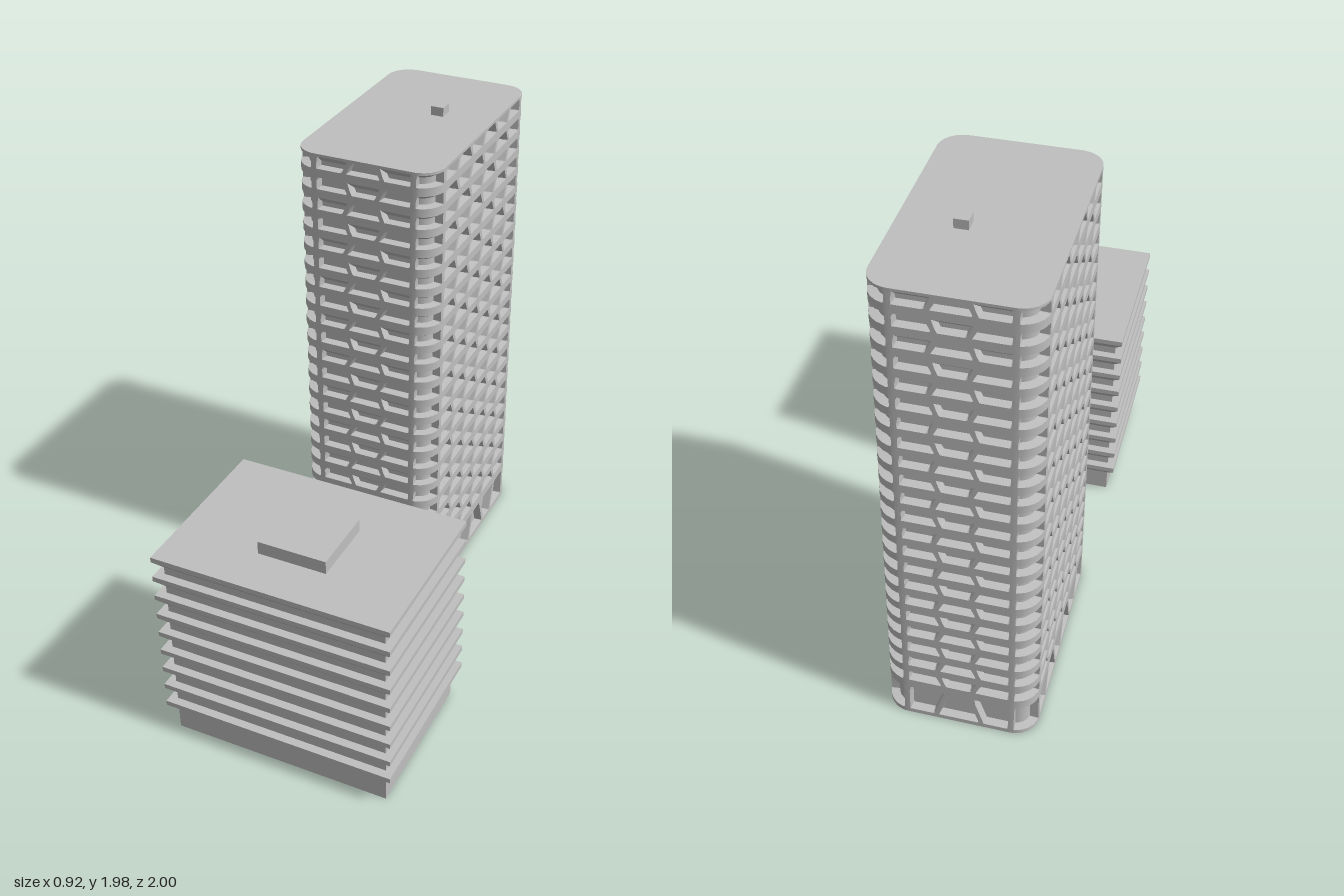
import * as THREE from 'three';
import { mergeGeometries, toCreasedNormals } from 'three/addons/utils/BufferGeometryUtils.js';

// Tower plan: width, depth, corner radius, height, centre
const W = 0.568, D = 0.92, R = 0.088, H = 1.94, CX = -0.148, CZ = -0.54;
const PITCH = 0.081, ROWS = 22, RECESS = 0.032;
const lerp = THREE.MathUtils.lerp;

// Place on one of four straight sides (u along the wall, d inwards)
function wallPlace(k) {
  const a = k * Math.PI / 2, n = [Math.sin(a), Math.cos(a)], t = [Math.cos(a), -Math.sin(a)];
  const length = (k % 2 ? D : W) - 2 * R, half = (k % 2 ? W : D) / 2;
  const at = (u, d) => [
    CX + n[0] * (half - d) + t[0] * (u - length / 2),
    CZ + n[1] * (half - d) + t[1] * (u - length / 2)];
  return { length, at, a };
}

// Place on the rounded corner that follows side k
function cornerPlace(k) {
  const wall = wallPlace(k), c = wall.at(wall.length, R);
  const at = (u, d) => {
    const a = wall.a + u / R;
    return [c[0] + Math.sin(a) * (R - d), c[1] + Math.cos(a) * (R - d)];
  };
  return { length: R * Math.PI / 2, at };
}

// One facade cell: frame, sloping reveals and recessed pane
function cell(at, u0, u1, y0, y1, o) {
  const ys = [y0, o.bottom, o.bottom + 0.003, o.top - o.soffit, o.top, y1];
  const cols = [[0, 0], [0, o.rim], [0, o.rim + 0.005]];
  for (let i = 1; i < o.segs; i++) cols.push([i / o.segs, 0]);
  cols.push([1, -o.rim - 0.005], [1, -o.rim], [1, 0]);
  const last = cols.length - 1, pos = [], idx = [];
  ys.forEach((y, r) => {
    const t = THREE.MathUtils.clamp((y - o.bottom) / (o.top - o.bottom), 0, 1) * 2 - 1;
    const left = u0 - o.leanL * t, right = u1 + o.leanR * t;
    cols.forEach(([f, off], c) => {
      const inner = r > 1 && r < 4 && c > 1 && c < last - 1;
      const [x, z] = at(lerp(left, right, f) + off, inner ? RECESS : 0);
      pos.push(x, y, z);
      if (r < 5 && c < last) {
        const a = r * (last + 1) + c, b = a + last + 1;
        idx.push(a, a + 1, b + 1, a, b + 1, b);
      }
    });
  });
  const g = new THREE.BufferGeometry();
  g.setAttribute('position', new THREE.Float32BufferAttribute(pos, 3));
  g.setIndex(idx);
  return g;
}

// All floors of the tower, the tall ground floor last
function facadeGeometry() {
  const parts = [];
  for (let row = 0; row <= ROWS; row++) {
    const ground = row === ROWS;
    const y1 = H - row * PITCH, y0 = ground ? 0 : y1 - PITCH;
    const top = y1 - (ground ? 0.016 : 0.01), bottom = ground ? 0.018 : y1 - 0.058;
    const lean = ground ? 0.02 : 0.011;
    for (let k = 0; k < 4; k++) {
      const wall = wallPlace(k), corner = cornerPlace(k);
      const count = k % 2 ? 6 : 3, step = wall.length / count;
      for (let i = 0; i < count; i++) {
        const wide = (i + row) % 2 ? -1 : 1;
        parts.push(cell(wall.at, i * step, (i + 1) * step, y0, y1, {
          top, bottom, rim: 0.009, segs: 1, soffit: wide > 0 ? 0.028 : 0.012,
          leanL: i ? wide * lean : 0, leanR: i < count - 1 ? wide * lean : 0 }));
      }
      parts.push(cell(corner.at, 0, corner.length, y0, y1, {
        top, bottom, rim: 0.012, segs: 6, soffit: 0.02, leanL: 0, leanR: 0 }));
    }
  }
  return toCreasedNormals(mergeGeometries(parts), 0.35);
}

// Flat rounded outline for the roof and the underside
function capGeometry() {
  const pts = [];
  for (let k = 0; k < 4; k++) {
    const { at, length } = cornerPlace(k);
    for (let i = 0; i <= 6; i++) {
      const [x, z] = at(length * i / 6, 0);
      pts.push(new THREE.Vector2(x, -z));
    }
  }
  return new THREE.ShapeGeometry(new THREE.Shape(pts)).rotateX(-Math.PI / 2);
}

// Ledge with an upright lip above a sloping underside
function ledgeGeometry(w, d, h, lip, inset) {
  const g = new THREE.BoxGeometry(w, h, d, 1, 2, 1);
  const p = g.attributes.position;
  for (let i = 0; i < p.count; i++) {
    const y = p.getY(i);
    if (Math.abs(y) < 1e-6) p.setY(i, h / 2 - lip);
    else if (y < 0) {
      p.setX(i, p.getX(i) - Math.sign(p.getX(i)) * inset);
      p.setZ(i, p.getZ(i) - Math.sign(p.getZ(i)) * inset);
    }
  }
  const flat = g.toNonIndexed();
  flat.computeVertexNormals();
  return flat;
}

export function createModel() {
  const model = new THREE.Group();
  const concrete = new THREE.MeshStandardMaterial({ color: 0xbfbfbf });
  concrete.name = 'concrete grey';
  const add = (parent, name, geometry, x = 0, y = 0, z = 0) => {
    const mesh = new THREE.Mesh(geometry, concrete);
    mesh.name = name;
    mesh.position.set(x, y, z);
    parent.add(mesh);
    return mesh;
  };

  // Tall tower
  const tower = new THREE.Group();
  tower.name = 'tower';
  model.add(tower);
  add(tower, 'towerFacade', facadeGeometry());
  add(tower, 'towerRoof', capGeometry(), 0, H, 0);
  const under = add(tower, 'towerUnderside', capGeometry(), 0, 0, 2 * CZ);
  under.rotation.x = Math.PI;
  add(tower, 'towerRoofBox', new THREE.BoxGeometry(0.05, 0.035, 0.055), -0.08, H + 0.0175, -0.617);

  // Low block with stacked ledges
  const block = new THREE.Group();
  block.name = 'lowBlock';
  block.position.z = 0.672;
  model.add(block);
  add(block, 'blockWalls', new THREE.BoxGeometry(0.86, 0.81, 0.592), 0, 0.405, 0);
  const ledge = ledgeGeometry(0.922, 0.656, 0.055, 0.02, 0.031);
  for (let i = 0; i < 9; i++) add(block, 'ledge', ledge, 0, 0.1165 + i * 0.0857, 0);
  add(block, 'blockRoofBox', new THREE.BoxGeometry(0.267, 0.052, 0.265), 0.002, 0.855, 0.016);
  return model;
}
